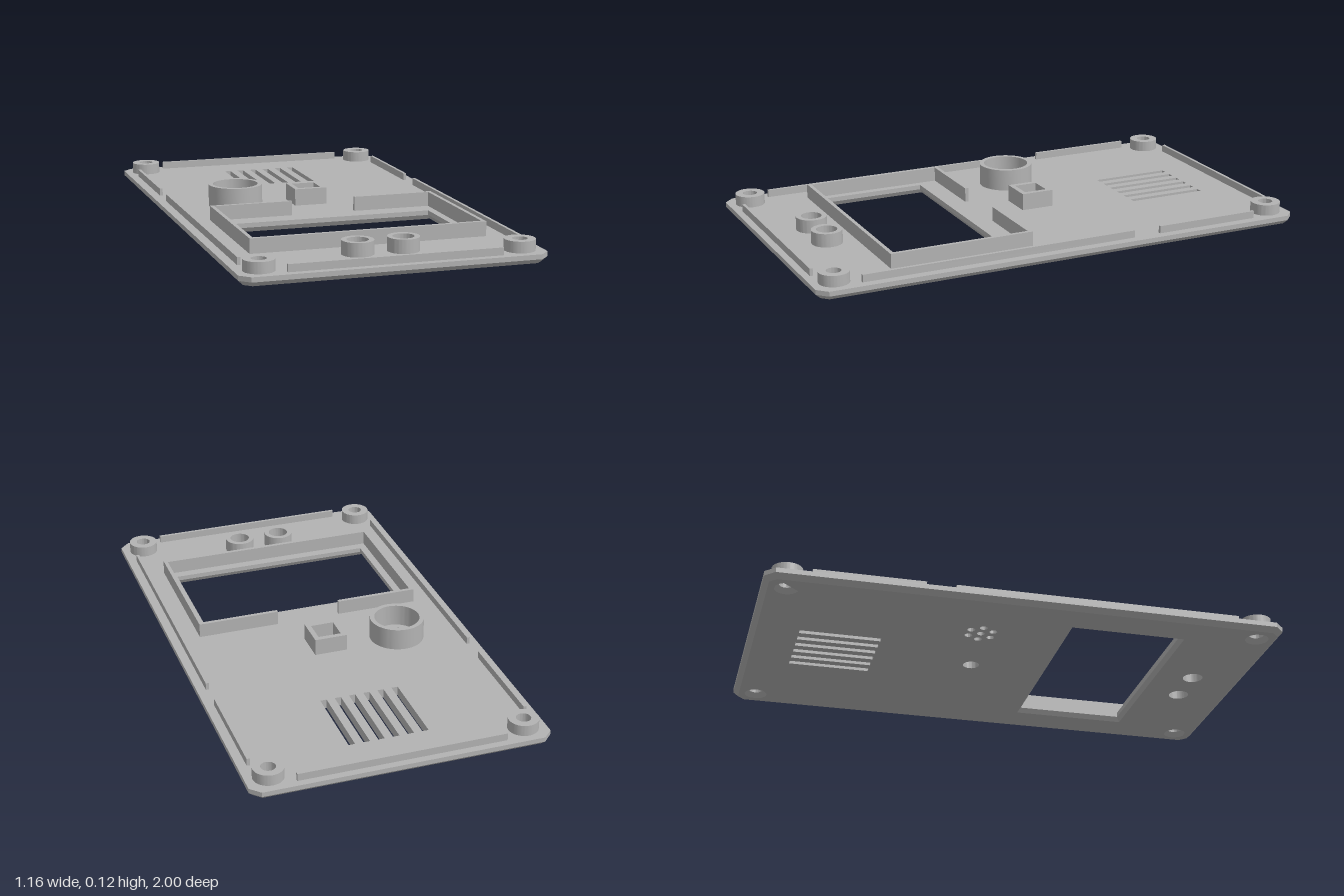
import * as THREE from 'three';
import { toCreasedNormals } from 'three/addons/utils/BufferGeometryUtils.js';

const TOP = 0.037; // upper face of the plate
const MID = TOP / 2; // height where the lower bevel starts
const SCREWS = [[-0.49, -0.912], [0.49, -0.912], [-0.49, 0.912], [0.49, 0.912]];
const BUTTONS = [[-0.088, 0.792], [0.087, 0.792]];
const CUP = [-0.29, -0.137];
const SOCKET = [0, -0.11];
const WINDOW = [-0.413, 0.2, 0.413, 0.627];

// Outlines are drawn in x and z
const polygon = (pts) => new THREE.Shape(pts.map(([x, z]) => new THREE.Vector2(x, z)));
const rect = (x0, z0, x1, z1) => polygon([[x0, z0], [x1, z0], [x1, z1], [x0, z1]]);
function circle([x, z], r) {
  const s = new THREE.Shape();
  s.absarc(x, z, r, 0, Math.PI * 2);
  return s;
}

// Extrude an outline between two heights
function slab(shape, holes, y0, y1, steps = 1, curveSegments = 32) {
  shape.holes = holes;
  const g = new THREE.ExtrudeGeometry(shape, { depth: y1 - y0, bevelEnabled: false, steps, curveSegments });
  g.rotateX(Math.PI / 2);
  g.translate(0, y1, 0);
  return g;
}

export function createModel() {
  const group = new THREE.Group();
  const grey = new THREE.MeshStandardMaterial({ color: 0xb3b3b3 });
  grey.name = 'grey plastic';

  const add = (name, geometry) => {
    const mesh = new THREE.Mesh(toCreasedNormals(geometry, 0.5), grey);
    mesh.name = name;
    group.add(mesh);
  };

  // Plate with clipped corners and all its openings
  const X = 0.578, Z = 1, C = 0.038;
  const outline = polygon([
    [-X + C, -Z], [X - C, -Z], [X, -Z + C], [X, Z - C],
    [X - C, Z], [-X + C, Z], [-X, Z - C], [-X, -Z + C],
  ]);
  const holes = [rect(...WINDOW), circle(SOCKET, 0.032)];
  SCREWS.forEach((p) => holes.push(circle(p, 0.028)));
  BUTTONS.forEach((p) => holes.push(circle(p, 0.04)));
  for (let i = 0; i < 6; i++) {
    const x = -0.143 + i * 0.0573;
    holes.push(rect(x - 0.0125, -0.817, x + 0.0125, -0.5));
  }
  holes.push(circle(CUP, 0.015));
  for (let i = 0; i < 6; i++) {
    const a = (i * Math.PI) / 3;
    holes.push(circle([CUP[0] + 0.05 * Math.cos(a), CUP[1] + 0.05 * Math.sin(a)], 0.015));
  }
  const plate = slab(outline, holes, 0, TOP, 2, 24);

  // Bevel the lower outer edge, countersink the screws and flare the window
  const pos = plate.attributes.position;
  const [wx, wz] = [WINDOW[2], (WINDOW[1] + WINDOW[3]) / 2];
  for (let i = 0; i < pos.count; i++) {
    if (pos.getY(i) > MID / 2) continue;
    let x = pos.getX(i), z = pos.getZ(i);
    const screw = SCREWS.find((p) => Math.hypot(x - p[0], z - p[1]) < 0.03);
    if (Math.abs(x) > X - 0.005 || Math.abs(z) > Z - 0.005) {
      const onSide = Math.abs(x) > X - 0.005;
      x -= Math.sign(x) * (onSide ? 0.02 : 0.008);
      z -= Math.sign(z) * (onSide ? 0.008 : 0.02);
    } else if (screw) {
      x = screw[0] + (x - screw[0]) * 1.6;
      z = screw[1] + (z - screw[1]) * 1.6;
    } else if (Math.abs(Math.abs(x) - wx) < 0.001 && Math.abs(z - wz) < 0.22) {
      x += Math.sign(x) * 0.012;
      z += Math.sign(z - wz) * 0.012;
    }
    pos.setXYZ(i, x, pos.getY(i), z);
  }
  add('plate', plate);

  // Round collars standing on the plate
  const collar = (name, p, outer, inner, top) =>
    add(name, slab(circle(p, outer), [circle(p, inner)], TOP, top));
  SCREWS.forEach((p) => collar('screwPost', p, 0.058, 0.028, 0.08));
  BUTTONS.forEach((p) => collar('buttonCollar', p, 0.06, 0.04, 0.09));
  collar('speakerCup', CUP, 0.108, 0.09, 0.124);

  // Square socket
  const square = (h) => rect(SOCKET[0] - h, SOCKET[1] - h, SOCKET[0] + h, SOCKET[1] + h);
  add('sensorSocket', slab(square(0.066), [square(0.046)], TOP, 0.104));

  // Wall around the window, open in the middle of its rear side
  const L = 0.458, B = 0.105, F = 0.68, T = 0.015, G = 0.13;
  add('windowRim', slab(polygon([
    [-G, B], [-L, B], [-L, F], [L, F], [L, B], [G, B], [G, B + T],
    [L - T, B + T], [L - T, F - T], [-L + T, F - T], [-L + T, B + T], [-G, B + T],
  ]), [], TOP, 0.094));

  // Low locating ribs along the edges
  for (const s of [-1, 1]) {
    const rib = (name, x0, z0, x1, z1) => add(name, slab(rect(x0, z0, x1, z1), [], TOP, 0.066));
    rib('endRib', -0.402, s * 0.966 - 0.006, 0.402, s * 0.966 + 0.006);
    rib('rearSideRib', s * 0.537 - 0.006, -0.825, s * 0.537 + 0.006, -0.4);
    rib('frontSideRib', s * 0.537 - 0.006, -0.288, s * 0.537 + 0.006, 0.822);
  }
  return group;
}
